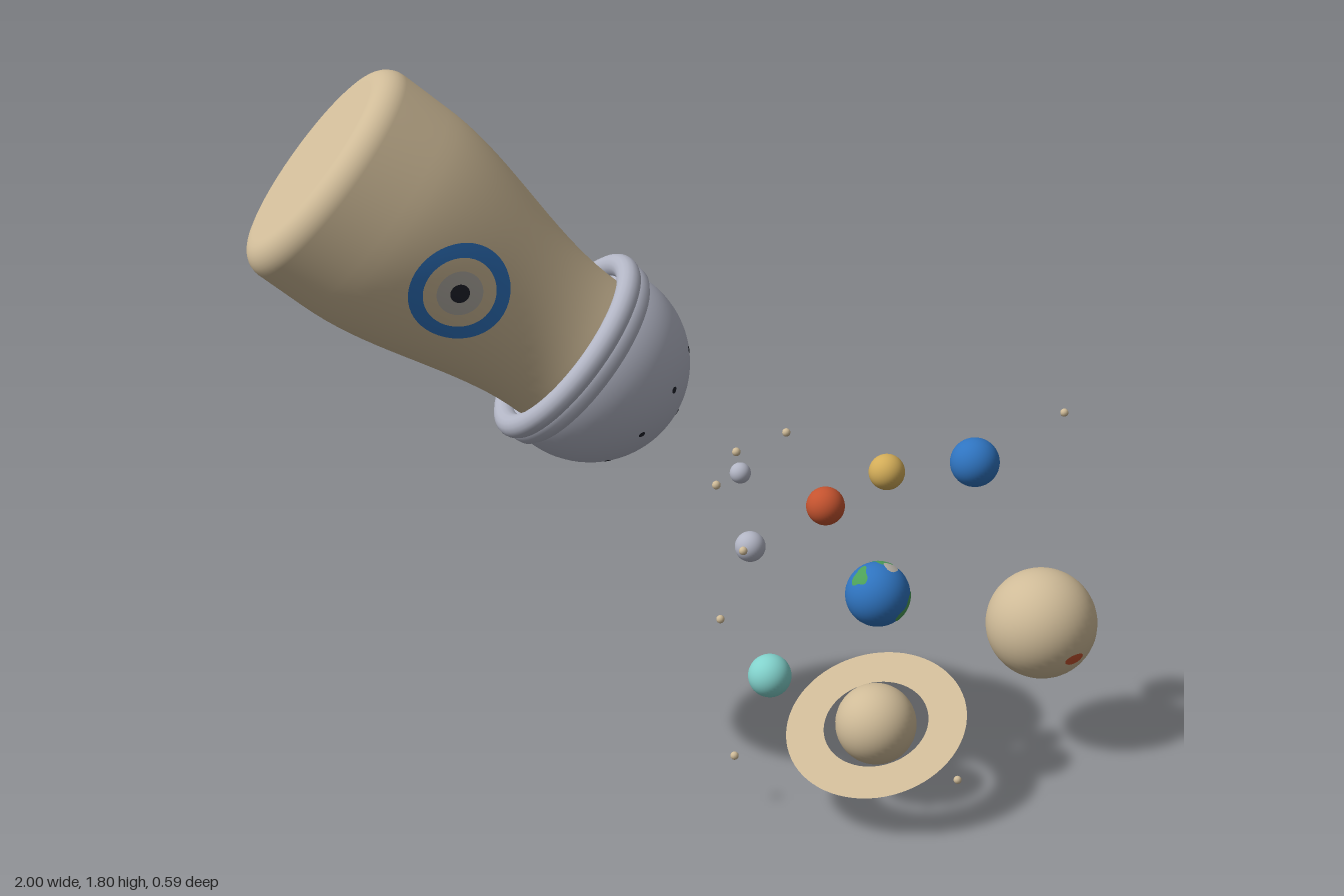
import * as THREE from 'three';

const mat = (name, color, side = THREE.FrontSide) => {
  const m = new THREE.MeshStandardMaterial({ color, side });
  m.name = name;
  return m;
};

export function createModel() {
  const M = {
    sand: mat('sand', 0xcfbb98, THREE.DoubleSide),
    metal: mat('metal grey', 0xb2b5c4),
    blue: mat('blue', 0x2f74c0),
    red: mat('rust red', 0xc4532f),
    gold: mat('gold', 0xd2ac58),
    aqua: mat('aqua', 0x82d2cc),
    green: mat('green', 0x4c9f58),
    dark: mat('dark', 0x20222c),
    pale: mat('pale grey', 0xb4afa6),
  };
  const add = (parent, name, geo, material, p = [0, 0, 0]) => {
    const mesh = new THREE.Mesh(geo, material);
    mesh.name = name;
    mesh.position.set(...p);
    parent.add(mesh);
    return mesh;
  };
  const V2 = (x, y) => new THREE.Vector2(x, y);

  // Thin oval plate wrapped onto a sphere of radius r, centred on direction dir
  const patch = (parent, name, r, dir, w, h, material, wobble = 0) => {
    const g = new THREE.RingGeometry(0, 1, 28, 6);
    const q = new THREE.Quaternion().setFromUnitVectors(
      new THREE.Vector3(0, 0, 1), new THREE.Vector3(...dir).normalize());
    const pos = g.attributes.position, v = new THREE.Vector3();
    for (let i = 0; i < pos.count; i++) {
      v.fromBufferAttribute(pos, i);
      const k = 1 + wobble * Math.sin(3 * Math.atan2(v.y, v.x) + dir[0] * 5);
      v.set(v.x * w * k, v.y * h * k, r).setLength(r + 0.0015).applyQuaternion(q);
      pos.setXYZ(i, v.x, v.y, v.z);
    }
    g.computeVertexNormals();
    return add(parent, name, g, material);
  };

  const model = new THREE.Group();
  model.name = 'planetShaker';

  // Tilted shaker: its local +y runs from the base to the dome
  const shaker = new THREE.Group();
  shaker.name = 'shaker';
  shaker.position.set(-0.26, 1.13, -0.037);
  shaker.rotation.z = THREE.MathUtils.degToRad(-130);
  model.add(shaker);

  // Body with rounded base edge and a waist narrowing to the collar
  const radiusAt = t => 0.264 - 0.081 * THREE.MathUtils.smoothstep(t, -0.6, -0.08);
  const profile = [V2(0, -0.772), V2(0.208, -0.772)];
  for (let i = 0; i <= 8; i++) {
    const a = (i / 8) * Math.PI / 2;
    profile.push(V2(0.212 + 0.052 * Math.sin(a), -0.72 - 0.052 * Math.cos(a)));
  }
  for (let i = 0; i <= 20; i++) {
    const t = -0.64 + 0.6 * i / 20;
    profile.push(V2(radiusAt(t), t));
  }
  add(shaker, 'body', new THREE.LatheGeometry(profile, 64), M.sand);

  // Metal cap: rolled rim, collar and dome
  const rim = add(shaker, 'capRim', new THREE.TorusGeometry(0.216, 0.027, 16, 64), M.metal, [0, -0.068, 0]);
  rim.rotation.x = Math.PI / 2;
  add(shaker, 'capCollar', new THREE.LatheGeometry([
    V2(0.17, -0.07), V2(0.226, -0.066), V2(0.235, -0.055), V2(0.237, -0.04),
    V2(0.235, -0.025), V2(0.225, -0.015)], 64), M.metal);
  add(shaker, 'dome', new THREE.SphereGeometry(0.225, 64, 24, 0, Math.PI * 2, 0, Math.PI * 0.56), M.metal);

  // Pouring holes in rings around the dome's pole
  const holes = (count, polar, start) => {
    for (let i = 0; i < count; i++) {
      const a = start + i * 2 * Math.PI / count, s = Math.sin(polar);
      patch(shaker, 'hole', 0.225, [-s * Math.cos(a), Math.cos(polar), s * Math.sin(a)], 0.008, 0.008, M.dark);
    }
  };
  holes(1, 0, 0);
  holes(5, 0.45, -1.38);
  holes(9, 0.9, 0.35);

  // Round emblem wrapped onto the front of the body
  const emblem = (name, r0, r1, material) => {
    const g = new THREE.RingGeometry(r0, r1, 48, 6);
    const pos = g.attributes.position;
    for (let i = 0; i < pos.count; i++) {
      const x = pos.getX(i), t = pos.getY(i) - 0.4;
      pos.setXYZ(i, x, t, Math.sqrt(radiusAt(t) ** 2 - x * x) + 0.003);
    }
    g.computeVertexNormals();
    add(shaker, name, g, material);
  };
  emblem('emblemRing', 0.079, 0.11, M.blue);
  emblem('emblemDisc', 0.021, 0.05, M.pale);
  emblem('emblemCore', 0, 0.021, M.dark);

  // Planets poured out: name, radius, position, material
  const planets = {};
  [
    ['tinyMoon', 0.025, [0.104, 0.8, -0.12], M.metal],
    ['greyMoon', 0.037, [0.137, 0.592, -0.157], M.metal],
    ['redPlanet', 0.045, [0.275, 0.763, 0.027], M.red],
    ['goldPlanet', 0.043, [0.447, 0.795, -0.072], M.gold],
    ['bluePlanet', 0.06, [0.692, 0.764, -0.165], M.blue],
    ['oceanPlanet', 0.076, [0.388, 0.558, 0.092], M.blue],
    ['aquaPlanet', 0.052, [0.155, 0.319, -0.008], M.aqua],
    ['ringedPlanet', 0.097, [0.395, 0.213, 0.083], M.sand],
    ['giantPlanet', 0.137, [0.86, 0.35, -0.1], M.sand],
  ].forEach(([name, r, p, material]) => {
    planets[name] = add(model, name, new THREE.SphereGeometry(r, 40, 28), material, p);
  });

  // Land and ice on the ocean planet
  [
    [[0.8, -0.35, 0.4], 0.045, 0.036], [[0.85, 0.25, -0.5], 0.026, 0.034],
    [[0.25, 0.85, -0.35], 0.036, 0.03], [[-0.6, 0.72, 0.2], 0.02, 0.028],
    [[-0.25, 0.3, -0.9], 0.026, 0.036], [[0.15, -0.4, -0.9], 0.022, 0.034],
  ].forEach(([d, w, h]) => patch(planets.oceanPlanet, 'land', 0.076, d, w, h, M.green, 0.25));
  patch(planets.oceanPlanet, 'ice', 0.0765, [0.35, 0.92, 0.15], 0.018, 0.018, M.pale, 0.1);

  // Storm spot on the giant planet
  patch(planets.giantPlanet, 'stormSpot', 0.137, [0.34, -0.33, 0.88], 0.027, 0.016, M.red);

  // Tilted flat ring
  const ring = add(planets.ringedPlanet, 'planetRing', new THREE.RingGeometry(0.127, 0.219, 72), M.sand);
  ring.quaternion.setFromUnitVectors(new THREE.Vector3(0, 0, 1), new THREE.Vector3(-0.3, 0.89, 0.33).normalize());

  // Loose grains
  [
    [0.008, 0.855, 0.073], [0.067, 0.907, 0.01], [0.216, 0.89, -0.13], [0.904, 0.885, -0.143],
    [0.073, 0.683, 0.065], [0.041, 0.463, 0.04 - 0.08], [0.058, 0.144, 0.05], [0.616, 0.016, 0.045],
  ].forEach(p => add(model, 'grain', new THREE.SphereGeometry(0.01, 12, 8), M.sand, p));

  return model;
}
